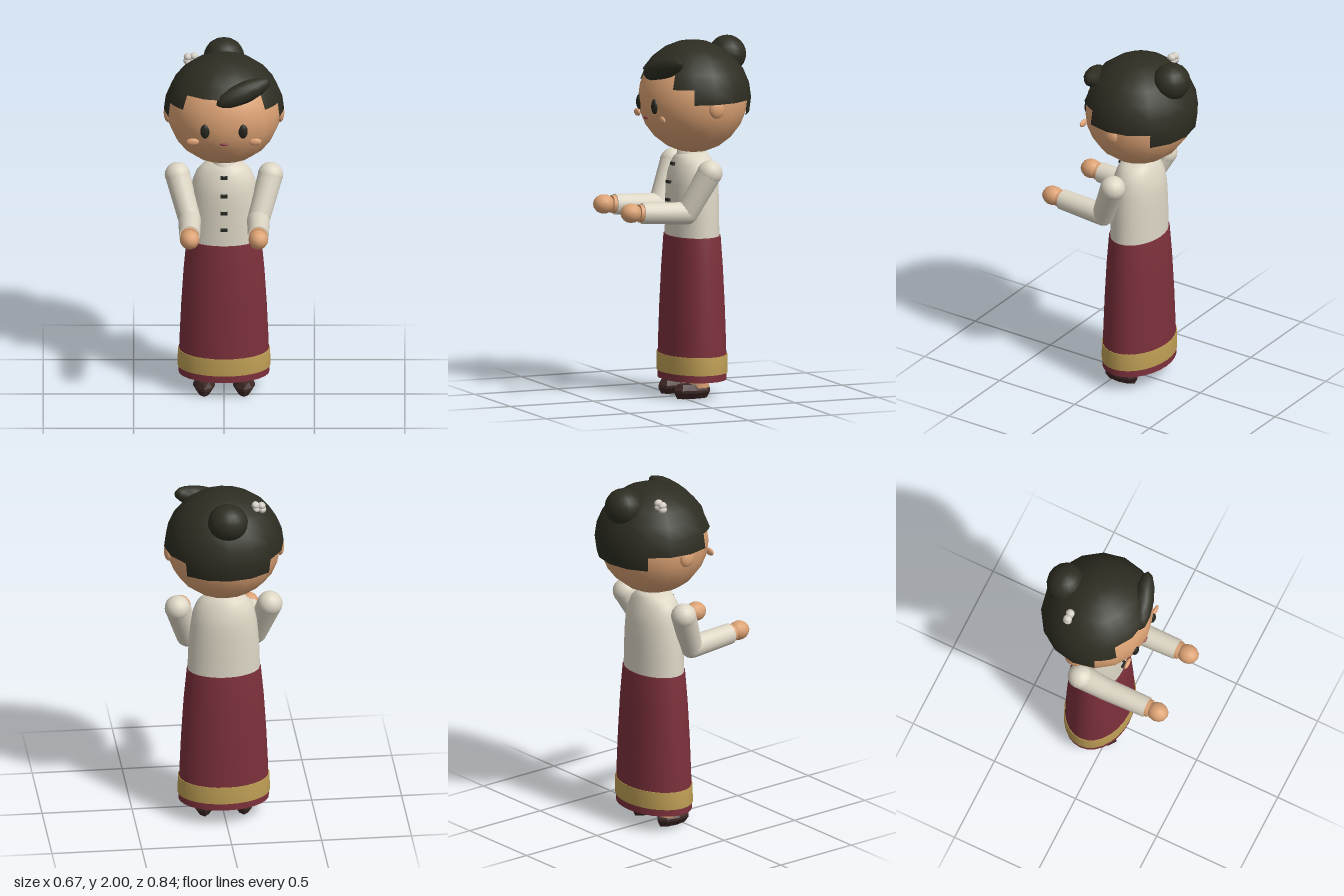
import * as THREE from 'three';
import { mergeVertices } from 'three/addons/utils/BufferGeometryUtils.js';

const mat = (name, color, extra = {}) => Object.assign(new THREE.MeshStandardMaterial({ color, ...extra }), { name });
const rad = THREE.MathUtils.degToRad;

export function createModel() {
  const model = new THREE.Group();
  model.name = 'doll';
  const skin = mat('skin', 0xdca274);
  const hair = mat('darkHair', 0x2d2d22, { side: THREE.DoubleSide });
  const cloth = mat('creamBlouse', 0xddd6c5);
  const skirtRed = mat('skirtRed', 0x7c303b, { side: THREE.DoubleSide });
  const gold = mat('goldTrim', 0xbf9f55, { side: THREE.DoubleSide });
  const shoe = mat('shoeBrown', 0x3d2825);
  const eyeDark = mat('eyeDark', 0x25261f);
  const lip = mat('lipRed', 0x8f3a48);
  const blush = mat('blush', 0xe0a377);
  const petal = mat('petalWhite', 0xd8d2c8);

  function add(name, geometry, material, pos = [0, 0, 0], parent = model) {
    const mesh = new THREE.Mesh(geometry, material);
    mesh.name = name;
    mesh.position.set(...pos);
    parent.add(mesh);
    return mesh;
  }

  function ball(name, material, pos, size, w = 16, h = 12) {
    const mesh = add(name, new THREE.SphereGeometry(1, w, h), material, pos);
    mesh.scale.set(...size);
    return mesh;
  }

  // Elliptical rings [y, radius x, radius z], listed from top to bottom
  function loft(rings, seg) {
    const geo = new THREE.CylinderGeometry(1, 1, 1, seg, rings.length - 1, true);
    const p = geo.attributes.position;
    for (let i = 0; i < p.count; i++) {
      const [y, rx, rz] = rings[Math.floor(i / (seg + 1))];
      p.setXYZ(i, p.getX(i) * rx, y, p.getZ(i) * rz);
    }
    geo.deleteAttribute('uv');
    geo.deleteAttribute('normal');
    const merged = mergeVertices(geo, 1e-5);
    merged.computeVertexNormals();
    return merged;
  }

  // Tapered cylinder from a to b
  function limb(name, material, a, b, ra, rb) {
    const from = new THREE.Vector3(...a), to = new THREE.Vector3(...b);
    const dir = to.clone().sub(from);
    const mesh = add(name, new THREE.CylinderGeometry(rb, ra, dir.length(), 16), material);
    mesh.position.copy(from).add(to).multiplyScalar(0.5);
    mesh.quaternion.setFromUnitVectors(new THREE.Vector3(0, 1, 0), dir.normalize());
    return mesh;
  }

  // Head
  ball('head', skin, [0, 1.665, -0.1], [0.318, 0.305, 0.3]);

  // Hair cap: sphere sectors with a stepped lower edge [from, to, drop] in degrees, 0 is the front
  const sectors = [[-45, 45, 60], [45, 67.5, 75], [-67.5, -45, 75],
    [67.5, 135, 90], [-135, -67.5, 90], [135, 225, 105]];
  for (const [from, to, drop] of sectors) {
    const geo = new THREE.SphereGeometry(1, (to - from) / 22.5, drop / 15,
      rad(from + 90), rad(to - from), 0, rad(drop));
    add('hairCap', geo, hair, [0, 1.665, -0.1]).scale.set(0.333, 0.32, 0.32);
  }
  ball('hairBun', hair, [0, 1.895, -0.307], [0.112, 0.105, 0.104]);
  const lock = ball('forelock', hair, [0.107, 1.85, 0.122], [0.165, 0.06, 0.056], 12, 8);
  lock.quaternion.setFromUnitVectors(new THREE.Vector3(1, 0, 0), new THREE.Vector3(0.29, 0.105, -0.09).normalize());

  // Hair flower
  for (const [x, y] of [[-0.2, 1.935], [-0.166, 1.94], [-0.203, 1.912], [-0.168, 1.917]])
    ball('flowerPetal', petal, [x, y, -0.196], [0.023, 0.021, 0.026], 8, 6);

  // Face
  ball('mouth', lip, [0, 1.567, 0.183], [0.022, 0.008, 0.01], 10, 6);

  // Neck and blouse
  add('neck', new THREE.CylinderGeometry(0.062, 0.062, 0.12, 16), skin, [0, 1.36, -0.09]);
  add('collar', loft([[1.372, 0.055, 0.07], [1.372, 0.064, 0.08], [1.34, 0.068, 0.085]], 20), cloth, [0, 0, -0.09]);
  add('blouse', loft([[1.362, 0.02, 0.02], [1.36, 0.065, 0.082], [1.335, 0.118, 0.098], [1.3, 0.152, 0.112],
    [1.25, 0.172, 0.129], [1.19, 0.184, 0.137], [1.1, 0.193, 0.14], [1, 0.199, 0.14], [0.88, 0.202, 0.141]], 28),
  cloth, [0, 0, -0.095]);
  for (const [y, z] of [[1.3, 0.02], [1.2, 0.046], [1.1, 0.048], [1, 0.048]])
    add('button', new THREE.BoxGeometry(0.04, 0.015, 0.02), eyeDark, [0, y, z]);

  // Skirt, open below, with a trim band
  add('skirt', loft([[0.902, 0.198, 0.138], [0.9, 0.206, 0.148], [0.72, 0.223, 0.16], [0.5, 0.237, 0.17],
    [0.28, 0.247, 0.177], [0.1, 0.251, 0.18]], 28), skirtRed, [0, 0, -0.095]);
  add('skirtTrim', loft([[0.24, 0.248, 0.178], [0.24, 0.255, 0.183], [0.14, 0.257, 0.184], [0.14, 0.25, 0.179]], 28),
    gold, [0, 0, -0.095]);

  const shoeGeo = loft([[0.08, 0.001, 0.001], [0.08, 0.037, 0.092], [0.048, 0.061, 0.108], [0.034, 0.061, 0.108],
    [0, 0.034, 0.09], [0, 0.001, 0.001]], 8).toNonIndexed();
  shoeGeo.computeVertexNormals();

  // Paired parts
  for (const [side, s] of [['left', 1], ['right', -1]]) {
    ball(side + 'Eye', eyeDark, [s * 0.105, 1.642, 0.176], [0.026, 0.042, 0.018]);
    ball(side + 'Cheek', blush, [s * 0.173, 1.573, 0.16], [0.036, 0.021, 0.012], 12, 8);
    ball(side + 'Ear', skin, [s * 0.31, 1.637, -0.11], [0.024, 0.052, 0.046], 12, 8);

    const shoulder = [s * 0.257, 1.275, -0.09], elbow = [s * 0.19, 1.048, 0.018];
    ball(side + 'Shoulder', cloth, shoulder, [0.071, 0.071, 0.071]);
    limb(side + 'UpperArm', cloth, shoulder, elbow, 0.07, 0.062);
    ball(side + 'Elbow', cloth, elbow, [0.062, 0.062, 0.062]);
    limb(side + 'Forearm', cloth, elbow, [s * 0.19, 1.063, 0.29], 0.063, 0.058);
    limb(side + 'Wrist', skin, [s * 0.19, 1.062, 0.27], [s * 0.19, 1.065, 0.31], 0.052, 0.05);
    ball(side + 'Hand', skin, [s * 0.19, 1.068, 0.354], [0.055, 0.054, 0.062], 12, 8);

    limb(side + 'Leg', skin, [s * 0.11, 0.06, -0.09], [s * 0.11, 0.6, -0.09], 0.055, 0.06);
    add(side + 'Shoe', shoeGeo, shoe, [s * 0.11, 0, -0.048]);
  }
  return model;
}
